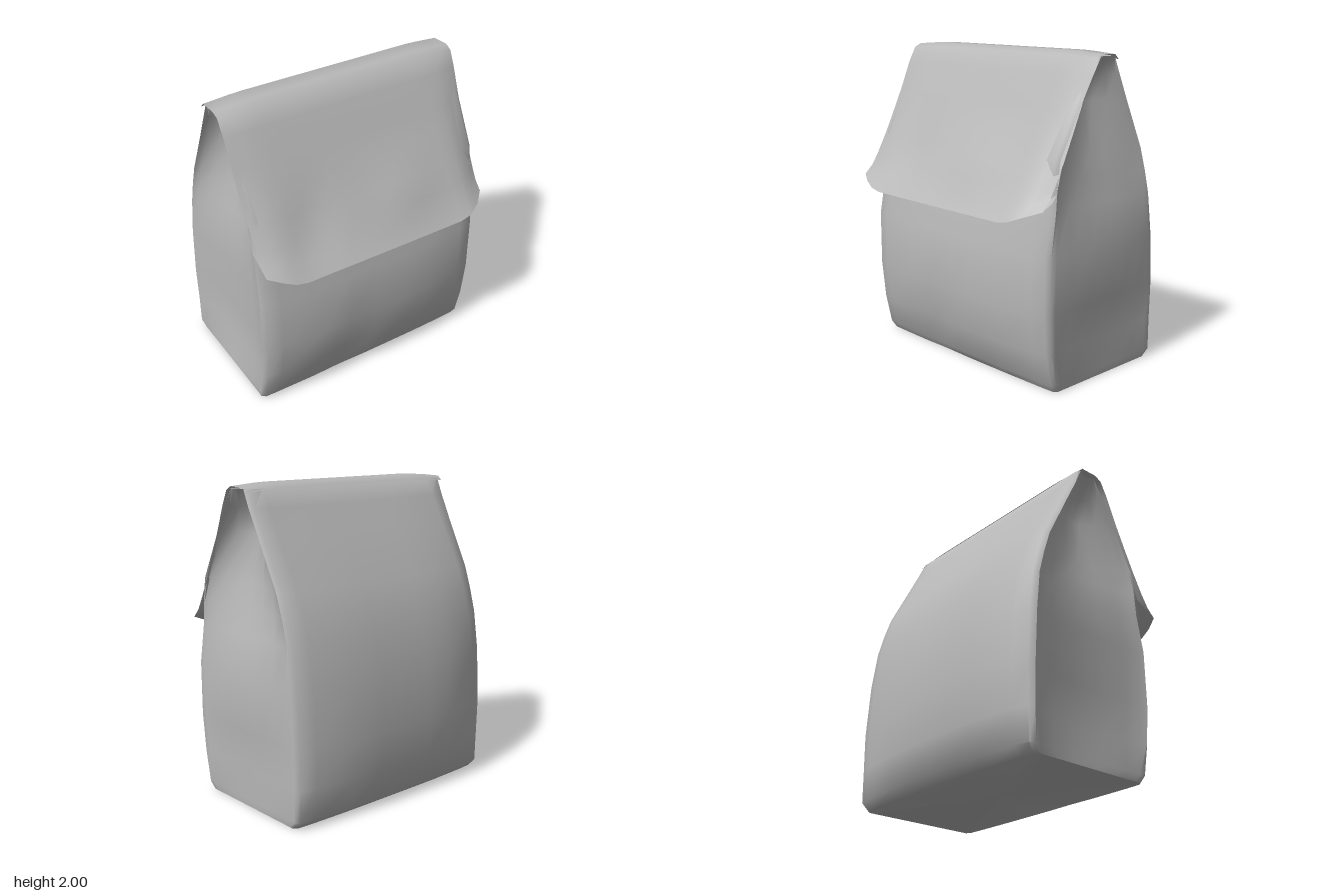
import * as THREE from 'three';
import { toCreasedNormals } from 'three/addons/utils/BufferGeometryUtils.js';

const paper = new THREE.MeshStandardMaterial({ color: 0xb8b8b8, side: THREE.DoubleSide });
paper.name = 'grey paper';

// Skin equal-length rows of points; closed rows wrap around and are capped at both ends
function loft(rows, closed) {
  const n = rows[0].length, pos = [], idx = [];
  rows.forEach(r => r.forEach(p => pos.push(...p)));
  for (let j = 0; j < rows.length - 1; j++) {
    for (let i = 0; i < (closed ? n : n - 1); i++) {
      const k = (i + 1) % n, a = j * n + i, b = j * n + k;
      idx.push(a, b, b + n, a, b + n, a + n);
    }
  }
  if (closed) {
    [[0, 0.02], [rows.length - 1, 1.98]].forEach(([j, y], end) => {
      const c = pos.length / 3;
      pos.push(0, y, -0.03);
      for (let i = 0; i < n; i++) {
        const a = j * n + i, b = j * n + (i + 1) % n;
        idx.push(...(end ? [a, b, c] : [b, a, c]));
      }
    });
  }
  const g = new THREE.BufferGeometry();
  g.setAttribute('position', new THREE.Float32BufferAttribute(pos, 3));
  g.setIndex(idx);
  return toCreasedNormals(g, 0.95);
}

const dent = (x, y, cx, cy, rx, ry) => Math.exp(-(((x - cx) / rx) ** 2) - ((y - cy) / ry) ** 2);

// Bag levels: y, half width, front z, back z, front bulge, back bulge, inset of +x and -x gussets
const levels = [
  [0.00, 0.790, 0.37, -0.47, 0.01, 0.02, 0.00, 0.00],
  [0.05, 0.805, 0.40, -0.51, 0.02, 0.05, 0.01, 0.02],
  [0.25, 0.805, 0.44, -0.51, 0.05, 0.09, 0.02, 0.05],
  [0.50, 0.810, 0.46, -0.51, 0.07, 0.11, 0.00, 0.06],
  [0.85, 0.810, 0.46, -0.49, 0.05, 0.10, -0.03, 0.05],
  [1.10, 0.805, 0.42, -0.46, 0.02, 0.08, 0.03, 0.06],
  [1.25, 0.805, 0.41, -0.42, 0.01, 0.07, 0.07, 0.09],
  [1.40, 0.805, 0.39, -0.37, 0.00, 0.06, 0.10, 0.12],
  [1.70, 0.810, 0.23, -0.22, 0.00, 0.03, 0.17, 0.17],
  [1.86, 0.815, 0.14, -0.14, 0.00, 0.02, 0.14, 0.14],
  [1.97, 0.815, 0.07, -0.09, 0.00, 0.00, 0.02, 0.02],
];

function bagSection([y, w, zf, zb, bf, bb, insetR, insetL]) {
  const across = [-1, -0.97, -0.85, -0.5, -0.25, 0, 0.25, 0.5, 0.85, 0.97, 1];
  const along = [0.06, 0.18, 0.35, 0.5, 0.65, 0.82, 0.94];
  const cx = -0.012;
  const corner = u => Math.abs(u) === 1 ? 0.02 : 0;
  // Gussets sink quickly behind the rims, then run fairly flat
  const sink = t => Math.sin(Math.PI * t) ** 0.75;
  const p = [];
  across.forEach(u => p.push([cx + u * w, y,
    zf + bf * (1 - u ** 4) - corner(u) - 0.03 * dent(u * w, y, -0.2, 0.2, 0.12, 0.15)]));
  along.forEach(t => p.push([cx + w - insetR * sink(t), y, zf + (zb - zf) * t]));
  // The back bellies out a little more towards -x
  [...across].reverse().forEach(u => p.push([cx + u * w, y,
    zb - bb * (1 - u ** 4) * (1 - 0.15 * u) + corner(u)]));
  along.forEach(t => p.push([cx - w + insetL * sink(t), y, zb + (zf - zb) * t]));
  return p;
}

// Flap path z, y: over the ridge, down to the lip, then back under to the bag front
const flapPath = [
  [-0.10, 1.965], [-0.07, 1.995], [0.05, 1.998], [0.11, 1.975], [0.17, 1.87],
  [0.26, 1.68], [0.34, 1.53], [0.42, 1.38], [0.50, 1.24], [0.56, 1.14], [0.63, 1.05],
  [0.55, 1.09], [0.42, 1.21], [0.37, 1.40],
];
const lip = 10;

function flapRow([z, y], j) {
  const f = Math.max(0, (Math.min(j, lip) - 2) / (lip - 2));
  const under = j > lip;
  const row = [];
  for (let i = 0; i <= 20; i++) {
    const u = i / 10 - 1, e = Math.max(0, Math.abs(u) - 0.75) / 0.25;
    const x = u * (0.825 - 0.015 * f) - 0.018;
    // Ends curl back and the lip rises at the corners; soft swells and creases between
    const curl = (u > 0 ? 0.12 : 0.07) * f * e * e * (j > lip + 1 ? 0.2 : 1);
    const swell = under ? 0 : 0.03 * dent(x, y, 0.2, 1.3, 0.25, 0.13)
      - 0.03 * dent(x, y, -0.45, 1.3, 0.16, 0.15);
    const rise = j > lip + 1 ? 0 : 0.08 * f ** 4 * e;
    row.push([x, y + rise - (j < 4 ? 0.015 * e : 0), z - curl + swell]);
  }
  return row;
}

export function createModel() {
  const group = new THREE.Group();
  group.name = 'foldedPaperBag';
  const add = (name, geometry) => {
    const m = new THREE.Mesh(geometry, paper);
    m.name = name;
    group.add(m);
  };
  add('bagBody', loft(levels.map(bagSection), true));
  // Reversed so the outside of the flap faces forward
  add('foldedFlap', loft(flapPath.map(flapRow).reverse(), false));
  return group;
}
